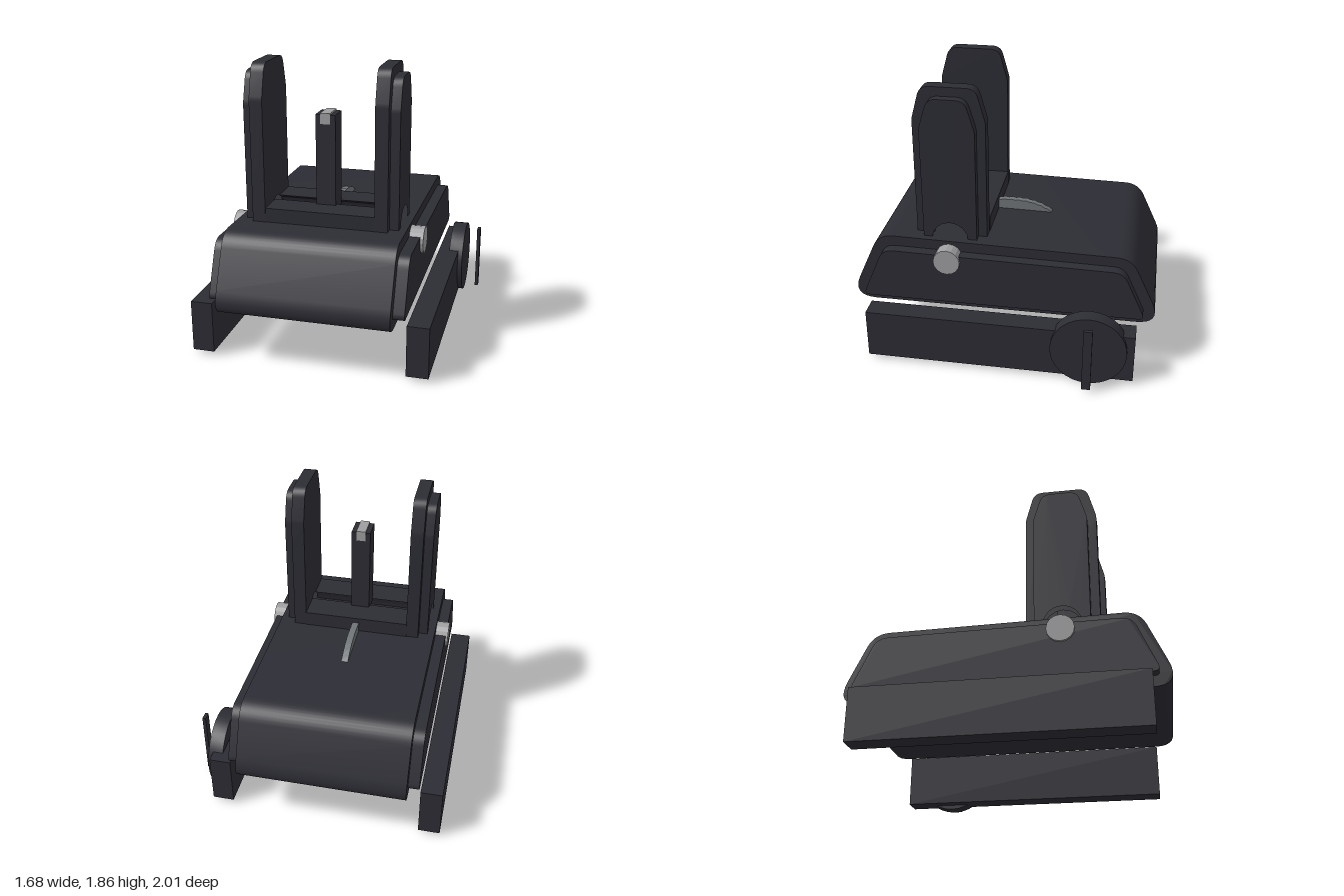
import * as THREE from 'three';
import { toCreasedNormals } from 'three/addons/utils/BufferGeometryUtils.js';

const black = new THREE.MeshStandardMaterial({ color: 0x2c2c34 });
black.name = 'matte black';
const steel = new THREE.MeshStandardMaterial({ color: 0x9e9ea0 });
steel.name = 'bright steel';
const grey = new THREE.MeshStandardMaterial({ color: 0x707476 });
grey.name = 'dull grey';

// Outline in (z, y); each corner is [z, y, rounding]
function sideShape(corners) {
  const shape = new THREE.Shape();
  const pts = corners.map(([z, y]) => new THREE.Vector2(-z, y));
  const n = pts.length;
  corners.forEach(([, , r = 0], i) => {
    const p = pts[i];
    const toward = (q) => p.clone().add(q.clone().sub(p).setLength(r));
    const a = r ? toward(pts[(i + n - 1) % n]) : p;
    if (i) shape.lineTo(a.x, a.y); else shape.moveTo(a.x, a.y);
    if (r) {
      const b = toward(pts[(i + 1) % n]);
      shape.quadraticCurveTo(p.x, p.y, b.x, b.y);
    }
  });
  shape.closePath();
  return shape;
}

// Extrude a side outline from x0 to x1
function slab(shape, x0, x1) {
  const g = new THREE.ExtrudeGeometry(shape, { depth: x1 - x0, bevelEnabled: false, curveSegments: 8 });
  g.rotateY(Math.PI / 2).translate(x0, 0, 0);
  return toCreasedNormals(g, 0.6);
}

export function createModel() {
  const group = new THREE.Group();
  const add = (name, geometry, material = black) => {
    const mesh = new THREE.Mesh(geometry, material);
    mesh.name = name;
    group.add(mesh);
  };
  const box = (name, [x0, x1], [y0, y1], [z0, z1], material) => add(name,
    new THREE.BoxGeometry(x1 - x0, y1 - y0, z1 - z0)
      .translate((x0 + x1) / 2, (y0 + y1) / 2, (z0 + z1) / 2), material);
  const disc = (name, r, sides, x0, x1, y, z, material) => add(name,
    toCreasedNormals(new THREE.CylinderGeometry(r, r, x1 - x0, sides)
      .rotateZ(-Math.PI / 2).translate((x0 + x1) / 2, y, z), 0.3), material);

  // Base body with a smaller raised panel on both sides
  add('body', slab(sideShape([
    [1.06, 0.345, 0.18], [0.835, 0.846, 0.1], [-0.835, 0.82, 0.1], [-1.06, 0.345, 0.18],
  ]), -0.62, 0.483));
  add('sidePanels', slab(sideShape([
    [0.945, 0.415, 0.05], [0.79, 0.775, 0.07], [-0.79, 0.752, 0.07], [-0.945, 0.415, 0.05],
  ]), -0.692, 0.555));

  // Clamp rails
  box('rightRail', [-0.84, -0.698], [0.03, 0.37], [-0.895, 0.89]);
  box('leftRail', [0.562, 0.703], [0.03, 0.37], [-0.895, 0.89]);

  // Guard ears: a tall inner blade and a shorter outer layer, with a pivot arch
  const ear = (half, top, taper) => {
    const c = 0.358;
    const s = sideShape([
      [c + half, 0.7], [c + half, top - taper, 0.02], [c + half - 0.06, top, 0.06],
      [c - half + 0.06, top, 0.06], [c - half, top - taper, 0.02], [c - half, 0.7],
    ]);
    s.holes.push(new THREE.Path().absarc(-c, 0.83, 0.12, 0, Math.PI * 2, true));
    return s;
  };
  const middle = -0.068;
  for (const [side, name] of [[1, 'left'], [-1, 'right']]) {
    const span = (a, b) => [middle + side * a, middle + side * b].sort((p, q) => p - q);
    add(name + 'EarInner', slab(ear(0.236, 1.86, 0.22), ...span(0.358, 0.443)));
    add(name + 'EarOuter', slab(ear(0.178, 1.8, 0.2), ...span(0.443, 0.503)));
  }

  // Cross bridge, split by the pivot arch
  for (const side of [1, -1]) {
    const pts = [[0.236, 0.75], [0.12, 0.75], [0.115, 0.86], [0.09, 0.91], [0.043, 0.935], [0.236, 0.935]]
      .map(([z, y]) => [0.355 + side * z, y]);
    add(side > 0 ? 'frontBridge' : 'backBridge', slab(sideShape(pts), -0.43, 0.295));
  }

  // Front post and its bright tip
  box('post', [-0.132, -0.003], [0.905, 1.53], [0.28, 0.428]);
  box('postTip', [-0.1, -0.036], [1.47, 1.54], [0.274, 0.434], steel);

  // Pivot pin
  disc('pivotPin', 0.088, 16, -0.708, 0.575, 0.73, 0.358, steel);

  // Exposed edge of the scalloped thumb wheel
  const rim = [[0.31, 0.78]];
  const teeth = 11;
  for (let i = 0; i <= teeth * 2; i++) {
    const t = i / teeth - 1;
    rim.push([0.028 - 0.284 * t, 0.907 - 0.075 * Math.abs(t) ** 2.6 - (i % 2 ? 0 : 0.006)]);
  }
  rim.push([-0.255, 0.78]);
  add('thumbWheel', slab(sideShape(rim), -0.091, -0.046), grey);

  // Clamp knob and its separate grip bar
  disc('clampKnob', 0.25, 32, 0.637, 0.735, 0.252, -0.598);
  box('knobBar', [0.815, 0.838], [0.03, 0.48], [-0.628, -0.57]);

  return group;
}
